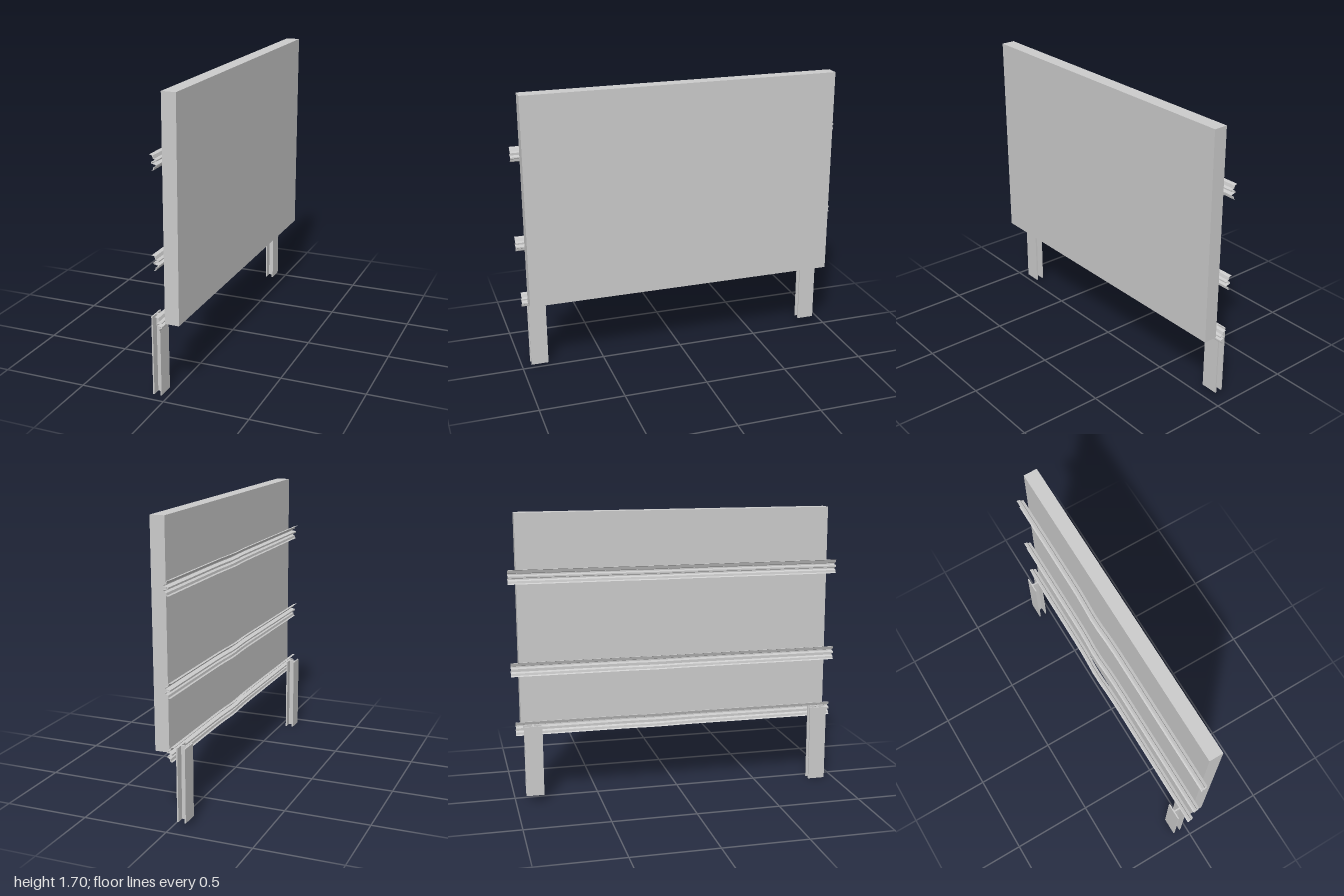
import * as THREE from 'three';

const material = new THREE.MeshStandardMaterial({ color: 0xcccccc, flatShading: true });

function addMesh(parent, name, geometry, x, y, z) {
  const mesh = new THREE.Mesh(geometry, material);
  mesh.name = name;
  mesh.position.set(x, y, z);
  parent.add(mesh);
  return mesh;
}

// Folded sheet-metal rail: two crests towards the board, slightly dented along its length
function railGeometry(length) {
  const line = [
    [-0.045, 0.041], [-0.03, 0.037], [-0.024, 0.02], [-0.008, 0.015], [-0.008, 0.008],
    [-0.035, 0.003], [-0.035, -0.006], [-0.01, -0.012], [-0.01, -0.019],
    [-0.024, -0.026], [-0.026, -0.039], [-0.034, -0.044],
  ];
  const outer = line.map(([x, y]) => new THREE.Vector2(x + 0.003, y));
  const inner = line.map(([x, y]) => new THREE.Vector2(x - 0.003, y)).reverse();
  const geometry = new THREE.ExtrudeGeometry(new THREE.Shape([...outer, ...inner]), {
    depth: length, steps: 24, bevelEnabled: false,
  });
  geometry.translate(0, 0, -length / 2);
  const p = geometry.attributes.position;
  for (let i = 0; i < p.count; i++) {
    const dent = Math.exp(-(((p.getZ(i) + 0.13) / 0.12) ** 2));
    p.setX(i, p.getX(i) - 0.008 * dent);
  }
  geometry.computeVertexNormals();
  return geometry;
}

// H-section post, flanges parallel to the board
function makePost(name, bottom, top, z) {
  const post = new THREE.Group();
  post.name = name;
  const h = top - bottom;
  const y = (top + bottom) / 2;
  addMesh(post, 'backFlange', new THREE.BoxGeometry(0.008, h, 0.105), -0.085, y, z);
  addMesh(post, 'frontFlange', new THREE.BoxGeometry(0.008, h, 0.105), -0.041, y, z);
  addMesh(post, 'web', new THREE.BoxGeometry(0.038, h, 0.01), -0.063, y, z);
  return post;
}

export function createModel() {
  const model = new THREE.Group();
  model.name = 'barrierPanel';

  // Thick board, leaning very slightly
  const board = addMesh(model, 'board', new THREE.BoxGeometry(0.083, 1.265, 1.9), 0.04, 1.072, 0);
  board.rotation.z = -0.004;

  // Three horizontal rails behind the board
  [['topRail', 1.345, 2], ['middleRail', 0.802, 2], ['bottomRail', 0.444, 1.965]].forEach(
    ([name, y, length]) => addMesh(model, name, railGeometry(length), 0, y, 0));

  // Two posts of unequal length
  model.add(makePost('frontPost', 0, 0.465, 0.89));
  model.add(makePost('backPost', 0.04, 0.465, -0.885));

  return model;
}
